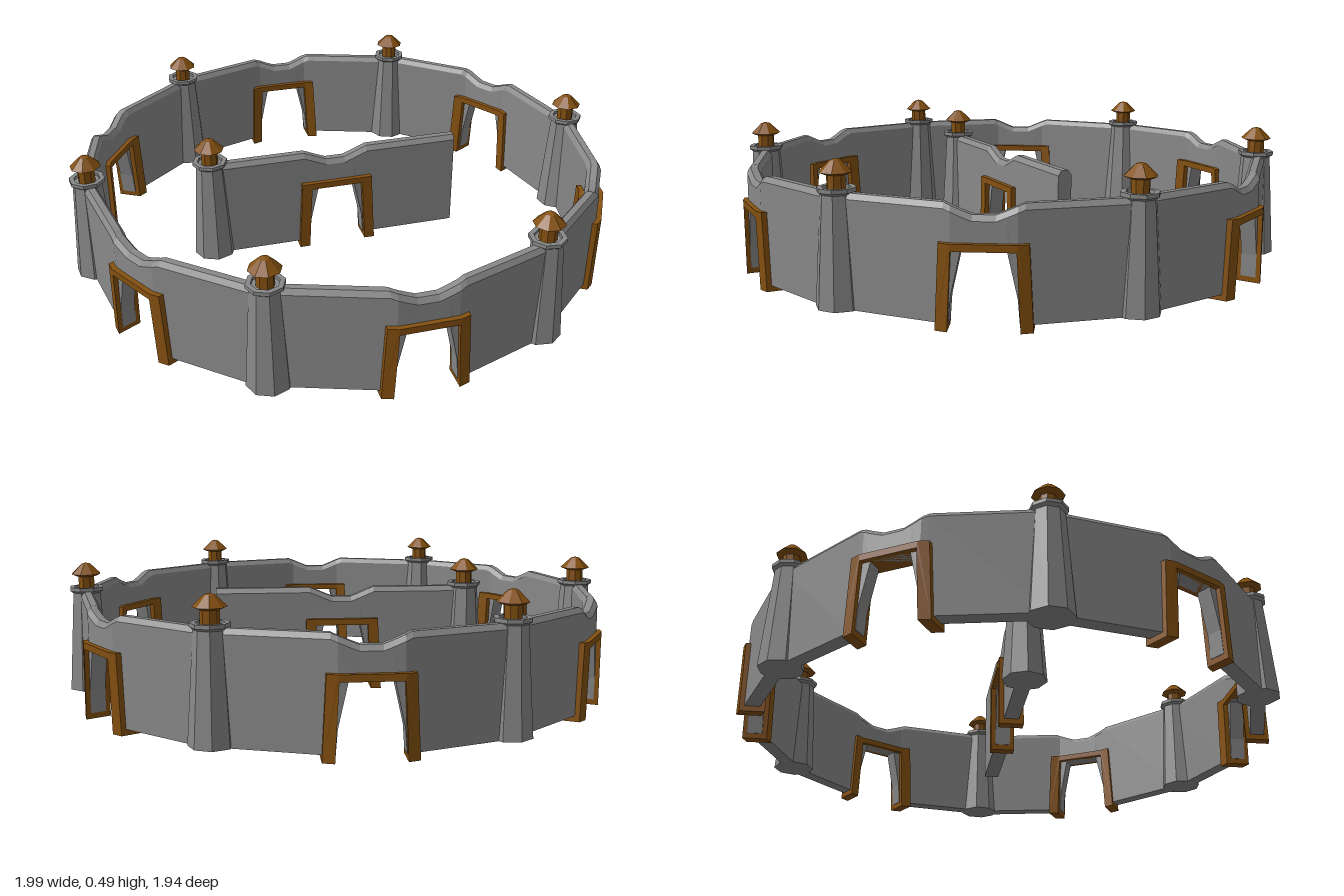
import * as THREE from 'three';

const stone = new THREE.MeshStandardMaterial({ color: 0x888888, flatShading: true });
const wood = new THREE.MeshStandardMaterial({ color: 0x845010, flatShading: true });

const HALF = 0.4675; // half the distance between neighbouring towers
const RADIUS = 0.926; // distance of the towers from the centre

// Outward offset of a wall: flat at the gate, falling to the towers
const bulge = (u) => 0.125 * Math.min(1, (HALF - Math.abs(u)) / (HALF - 0.1));

function bend(geometry) {
  const p = geometry.attributes.position;
  for (let i = 0; i < p.count; i++) p.setZ(i, p.getZ(i) + bulge(p.getX(i)));
  geometry.computeVertexNormals();
  return geometry;
}

function add(group, name, geometry, material) {
  const mesh = new THREE.Mesh(geometry, material);
  mesh.name = name;
  group.add(mesh);
}

// Wall: cross-sections along x; the underside rises to form the opening
function wallGeometry() {
  // distance from the middle, underside, top
  const half = [
    [HALF, 0.02, 0.385], [0.12, 0.02, 0.385], [0.106, 0.02, 0.379],
    [0.1, 0.1, 0.377], [0.068, 0.245, 0.363], [0.035, 0.245, 0.35],
  ];
  const stations = [
    ...half.map(([u, b, t]) => [-u, b, t]),
    ...half.slice().reverse(),
  ];
  const positions = [];
  const index = [];
  stations.forEach(([u, b, t]) => {
    const ring = [
      [-0.027, b], [0.027, b], [0.025, t - 0.018],
      [0.012, t], [-0.012, t], [-0.025, t - 0.018],
    ];
    ring.forEach(([z, y]) => positions.push(u, y, z));
  });
  const n = 6;
  for (let s = 0; s < stations.length - 1; s++) {
    for (let i = 0; i < n; i++) {
      const a = s * n + i;
      const b = s * n + ((i + 1) % n);
      index.push(a, a + n, b, b, a + n, b + n);
    }
  }
  const last = (stations.length - 1) * n;
  for (let i = 1; i < n - 1; i++) {
    index.push(0, i, i + 1, last, last + i + 1, last + i);
  }
  const g = new THREE.BufferGeometry();
  g.setAttribute('position', new THREE.Float32BufferAttribute(positions, 3));
  g.setIndex(index);
  const flat = g.toNonIndexed();
  flat.computeVertexNormals();
  return flat;
}

// Gate frame: slightly splayed legs under a beam
function frameGeometry() {
  const outer = [[0.147, 0], [0.134, 0.268], [0.1, 0.268]];
  const inner = [[0.097, 0.245], [0.109, 0]];
  const mirror = (points) => points.slice().reverse().map(([x, y]) => [-x, y]);
  const outline = [...outer, ...mirror(outer), ...mirror(inner), ...inner];
  const shape = new THREE.Shape(outline.map(([x, y]) => new THREE.Vector2(x, y)));
  const g = new THREE.ExtrudeGeometry(shape, { depth: 0.088, bevelEnabled: false });
  return g.translate(0, 0, -0.044);
}

const lathe = (points, sides) =>
  new THREE.LatheGeometry(points.map(([r, y]) => new THREE.Vector2(r, y)), sides);

// Tower: tapered shaft with a rimmed top, wooden stub and cap
function makeTower() {
  const tower = new THREE.Group();
  tower.name = 'tower';
  add(tower, 'towerShaft', lathe([
    [0, 0.02], [0.076, 0.02], [0.052, 0.378], [0.063, 0.386],
    [0.063, 0.399], [0.046, 0.399], [0.046, 0.388], [0, 0.388],
  ], 8), stone);
  add(tower, 'towerStub', lathe([[0, 0.385], [0.03, 0.385], [0.03, 0.45], [0, 0.45]], 8), wood);
  add(tower, 'towerCap', lathe([
    [0, 0.438], [0.035, 0.438], [0.054, 0.446], [0.017, 0.482], [0, 0.487],
  ], 8), wood);
  return tower;
}

// One section: tower at its left end, wall and gate frame
function makeSection(name, curved) {
  const section = new THREE.Group();
  section.name = name;
  const shapeIt = curved ? bend : (g) => g;
  add(section, 'wall', shapeIt(wallGeometry()), stone);
  add(section, 'gateFrame', shapeIt(frameGeometry()), wood);
  const tower = makeTower();
  tower.position.x = -HALF;
  section.add(tower);
  return section;
}

export function createModel() {
  const model = new THREE.Group();
  model.name = 'ringFort';

  // Ring of six bent sections
  for (let k = 0; k < 6; k++) {
    const spoke = new THREE.Group();
    spoke.name = 'ringSection';
    spoke.rotation.y = (k * Math.PI) / 3;
    const section = makeSection('curvedSection', true);
    section.position.set(0.012, 0, RADIUS * Math.cos(Math.PI / 6));
    spoke.add(section);
    model.add(spoke);
  }

  // Straight dividing wall across the middle
  const divider = makeSection('middleSection', false);
  divider.position.set(-0.018, 0, -0.006);
  model.add(divider);

  return model;
}
